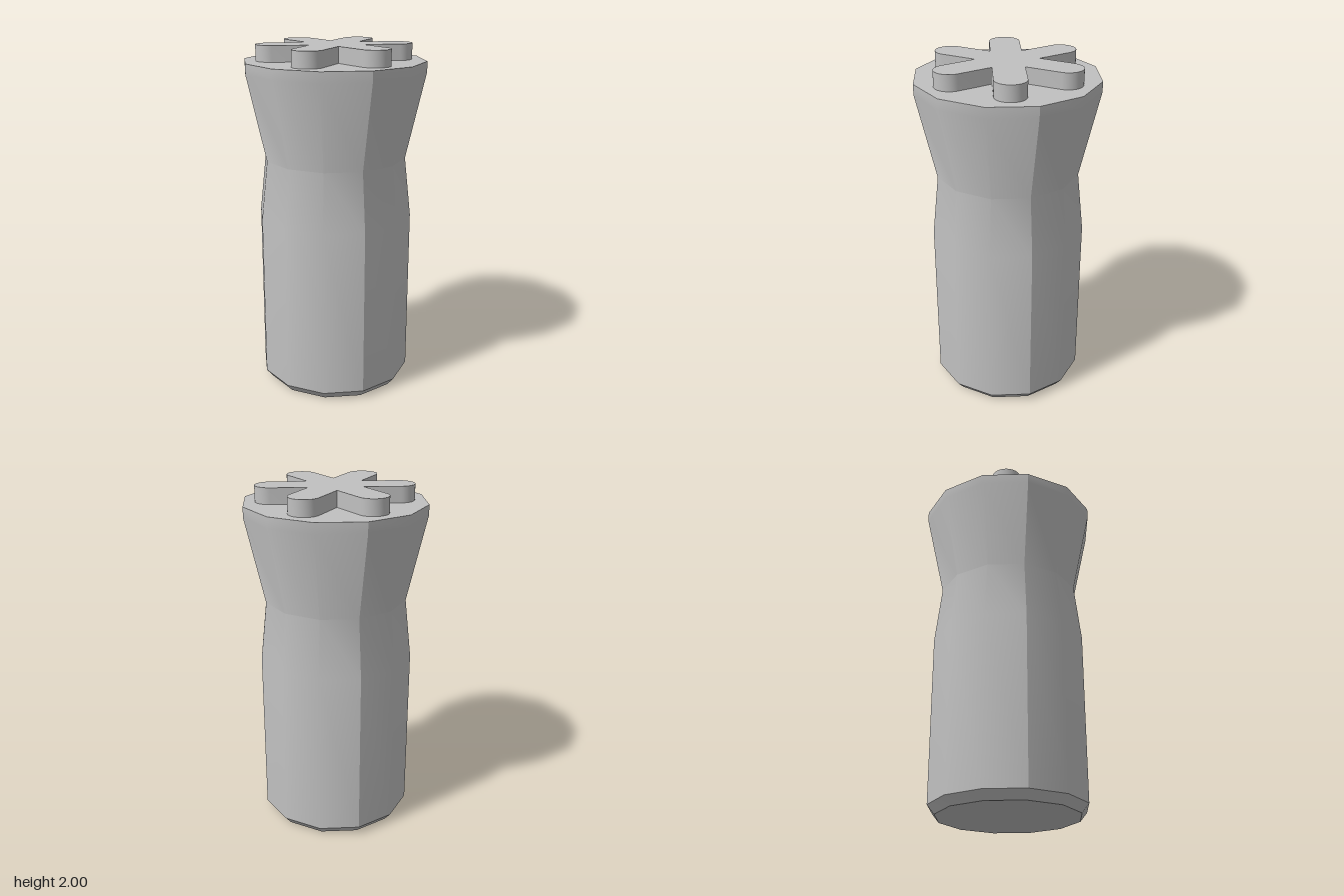
import * as THREE from 'three';
import { toCreasedNormals } from 'three/addons/utils/BufferGeometryUtils.js';

const SIDES = 12;
const CORNER = 1 / Math.cos(Math.PI / SIDES); // flat-to-flat half width -> corner radius

export function createModel() {
  const group = new THREE.Group();
  const grey = new THREE.MeshStandardMaterial({ color: 0xc0c0c0 });
  grey.name = 'grey';

  const add = (name, geometry) => {
    const mesh = new THREE.Mesh(geometry, grey);
    mesh.name = name;
    group.add(mesh);
    return mesh;
  };

  // Twelve-sided body: chamfered foot, straight barrel, waist, flared rim.
  // Each quarter is smooth over its three sides, with hard edges between quarters.
  const profile = [
    [0.393, 0], [0.432, 0.05], [0.432, 1.02], [0.395, 1.36], [0.5, 1.85], [0.5, 1.91],
  ].map(([r, y]) => new THREE.Vector2(r * CORNER, y));
  for (let i = 0; i < 4; i++) {
    const quarter = new THREE.LatheGeometry(profile, 3, Math.PI / 4 + i * Math.PI / 2, Math.PI / 2);
    add('bodyQuarter' + (i + 1), toCreasedNormals(quarter, 0.6));
  }

  // Flat end caps
  const cap = (name, r, y, turn) =>
    add(name, new THREE.CircleGeometry(r * CORNER, SIDES, Math.PI / SIDES).rotateX(turn).translate(0, y, 0));
  cap('topCap', 0.5, 1.91, -Math.PI / 2);
  cap('bottomCap', 0.393, 0, Math.PI / 2);

  // Raised six-armed star with rounded tips
  const half = 0.087, reach = 0.353;
  const star = new THREE.Shape();
  for (let i = 0; i < 6; i++) {
    const a = Math.PI / 6 + i * Math.PI / 3;
    const valley = a + Math.PI / 6;
    star.absarc(reach * Math.cos(a), reach * Math.sin(a), half, a - Math.PI / 2, a + Math.PI / 2, false);
    star.lineTo(2 * half * Math.cos(valley), 2 * half * Math.sin(valley));
  }
  star.closePath();
  const starGeometry = new THREE.ExtrudeGeometry(star, { depth: 0.09, bevelEnabled: false, curveSegments: 12 })
    .rotateX(-Math.PI / 2).translate(0, 1.91, 0);
  add('topStar', toCreasedNormals(starGeometry, 0.5));

  return group;
}
